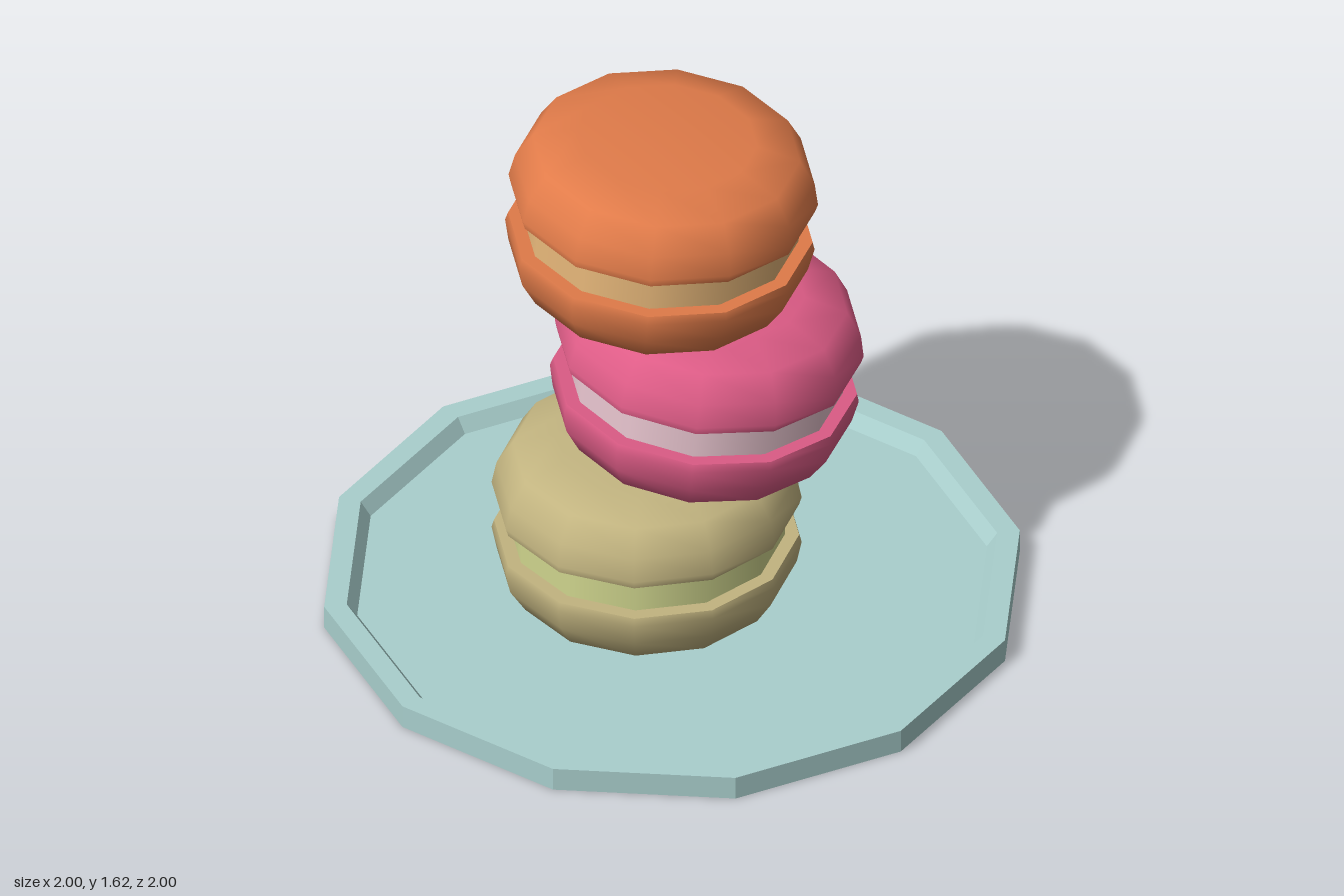
import * as THREE from 'three';

const SIDES = 12;
const FILL_HALF = 0.054;

const paint = (name, color) => {
  const m = new THREE.MeshStandardMaterial({ color });
  m.name = name;
  return m;
};

const lathe = (pts) => new THREE.LatheGeometry(pts.map(([r, y]) => new THREE.Vector2(r, y)), SIDES);

function add(parent, name, geometry, material) {
  const mesh = new THREE.Mesh(geometry, material);
  mesh.name = name;
  parent.add(mesh);
  return mesh;
}

// Domed shell and its flat inner face, kept apart for a sharp rim
const domeGeo = lathe([[0.433, 0], [0.44, 0.025], [0.426, 0.095], [0.38, 0.17], [0.256, 0.207], [0, 0.207]]);
const innerGeo = lathe([[0, 0], [0.433, 0]]);
const fillingGeo = lathe([[0.393, -FILL_HALF], [0.393, FILL_HALF]]);

function makeShell(name, material) {
  const shell = new THREE.Group();
  shell.name = name;
  add(shell, name + 'Dome', domeGeo, material);
  add(shell, name + 'InnerFace', innerGeo, material);
  return shell;
}

// Two shells around a filling, with flats facing the axes
function makeCookie(name, shellMat, fillMat) {
  const cookie = new THREE.Group();
  cookie.name = name;
  const body = new THREE.Group();
  body.name = name + 'Body';
  body.rotation.y = Math.PI / SIDES;
  const upper = makeShell('upperShell', shellMat);
  upper.position.y = FILL_HALF;
  const lower = makeShell('lowerShell', shellMat);
  lower.position.y = -FILL_HALF;
  lower.rotation.x = Math.PI;
  body.add(upper, lower);
  add(body, 'filling', fillingGeo, fillMat);
  cookie.add(body);
  return cookie;
}

export function createModel() {
  const model = new THREE.Group();
  model.name = 'cookieStack';

  // Faceted plate with a raised rim
  const plateGeo = lathe([[0, 0], [1, 0], [1, 0.073], [0.935, 0.073], [0.905, 0.03], [0, 0.03]]).toNonIndexed();
  plateGeo.computeVertexNormals();
  add(model, 'plate', plateGeo, paint('pale teal', 0xa9cfcd));

  // Leaning stack: centre x, centre y, tilt
  const stack = [
    ['bottomCookie', paint('tan', 0xc2b480), paint('pale lime', 0xd0d68e), -0.073, 0.284, 0],
    ['middleCookie', paint('raspberry', 0xe05d88), paint('pale pink', 0xe6c3cd), 0.1, 0.796, -0.09],
    ['topCookie', paint('orange', 0xe27c4a), paint('caramel cream', 0xe5b679), -0.03, 1.34, -0.063],
  ];
  for (const [name, shellMat, fillMat, x, y, tilt] of stack) {
    const cookie = makeCookie(name, shellMat, fillMat);
    cookie.position.set(x, y, 0);
    cookie.rotation.z = tilt;
    model.add(cookie);
  }
  return model;
}
